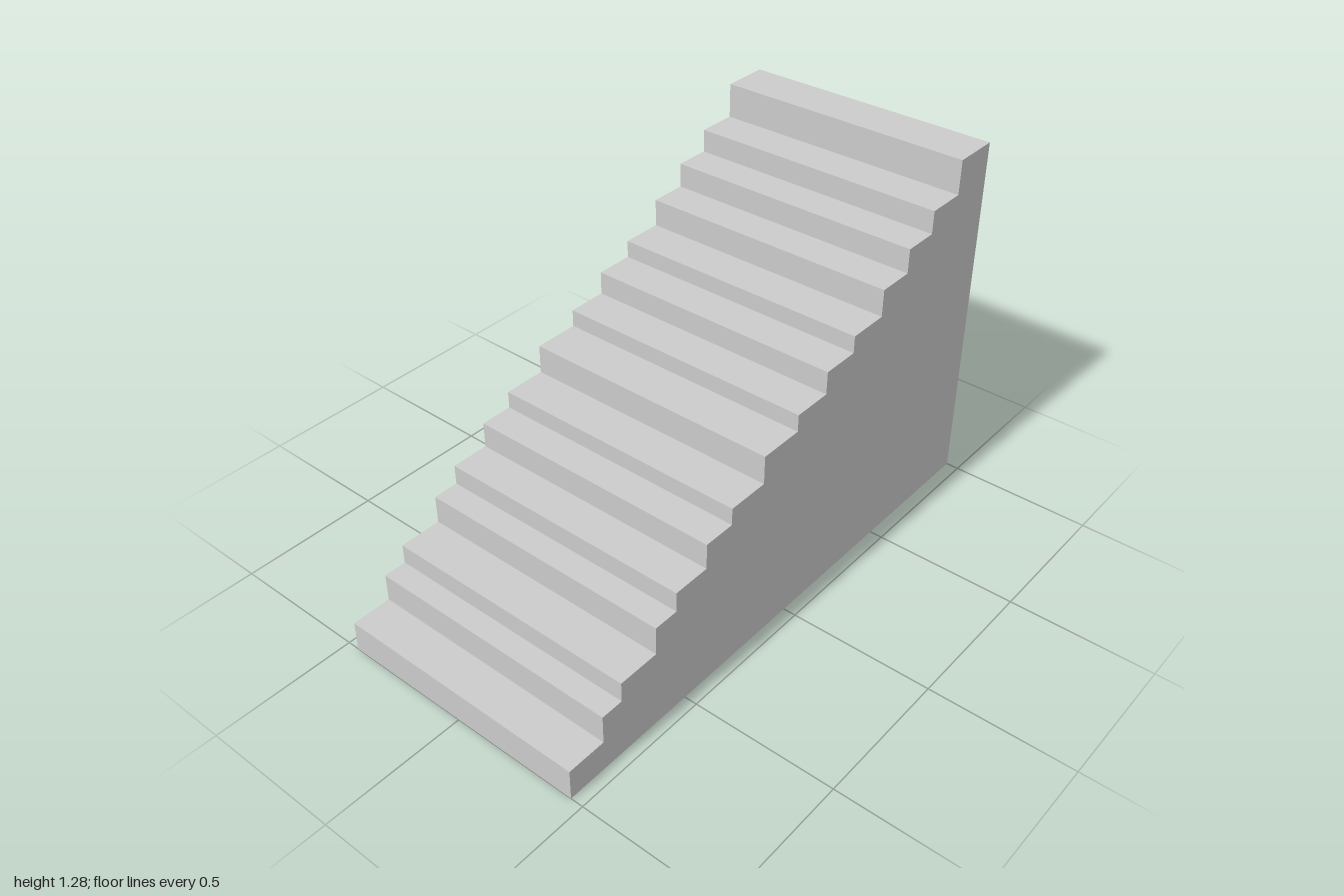
import * as THREE from 'three';

// Each step: [x where the tread starts, tread height]
const STEPS = [
  [-1, 0.11], [-0.86, 0.21], [-0.78, 0.28], [-0.63, 0.38], [-0.54, 0.45],
  [-0.405, 0.54], [-0.29, 0.6], [-0.14, 0.7], [0.02, 0.76], [0.16, 0.84],
  [0.295, 0.9], [0.44, 0.995], [0.57, 1.08], [0.695, 1.16], [0.835, 1.28],
];
const END_X = 1;
const WIDTH = 0.912;

export function createModel() {
  const group = new THREE.Group();
  group.name = 'staircase';

  // Stepped side profile, counter-clockwise from the bottom of the first riser
  const profile = new THREE.Shape();
  profile.moveTo(STEPS[0][0], 0);
  profile.lineTo(END_X, 0);
  for (let i = STEPS.length - 1; i >= 0; i--) {
    const [startX, height] = STEPS[i];
    const endX = i + 1 < STEPS.length ? STEPS[i + 1][0] : END_X;
    profile.lineTo(endX, height);
    profile.lineTo(startX, height);
  }
  profile.closePath();

  // Solid flight of stairs
  const geometry = new THREE.ExtrudeGeometry(profile, { depth: WIDTH, bevelEnabled: false });
  geometry.translate(0, 0, -WIDTH / 2);
  const material = new THREE.MeshStandardMaterial({ color: 0xcccccc, flatShading: true });
  const stairs = new THREE.Mesh(geometry, material);
  stairs.name = 'solidStairs';
  group.add(stairs);

  return group;
}
